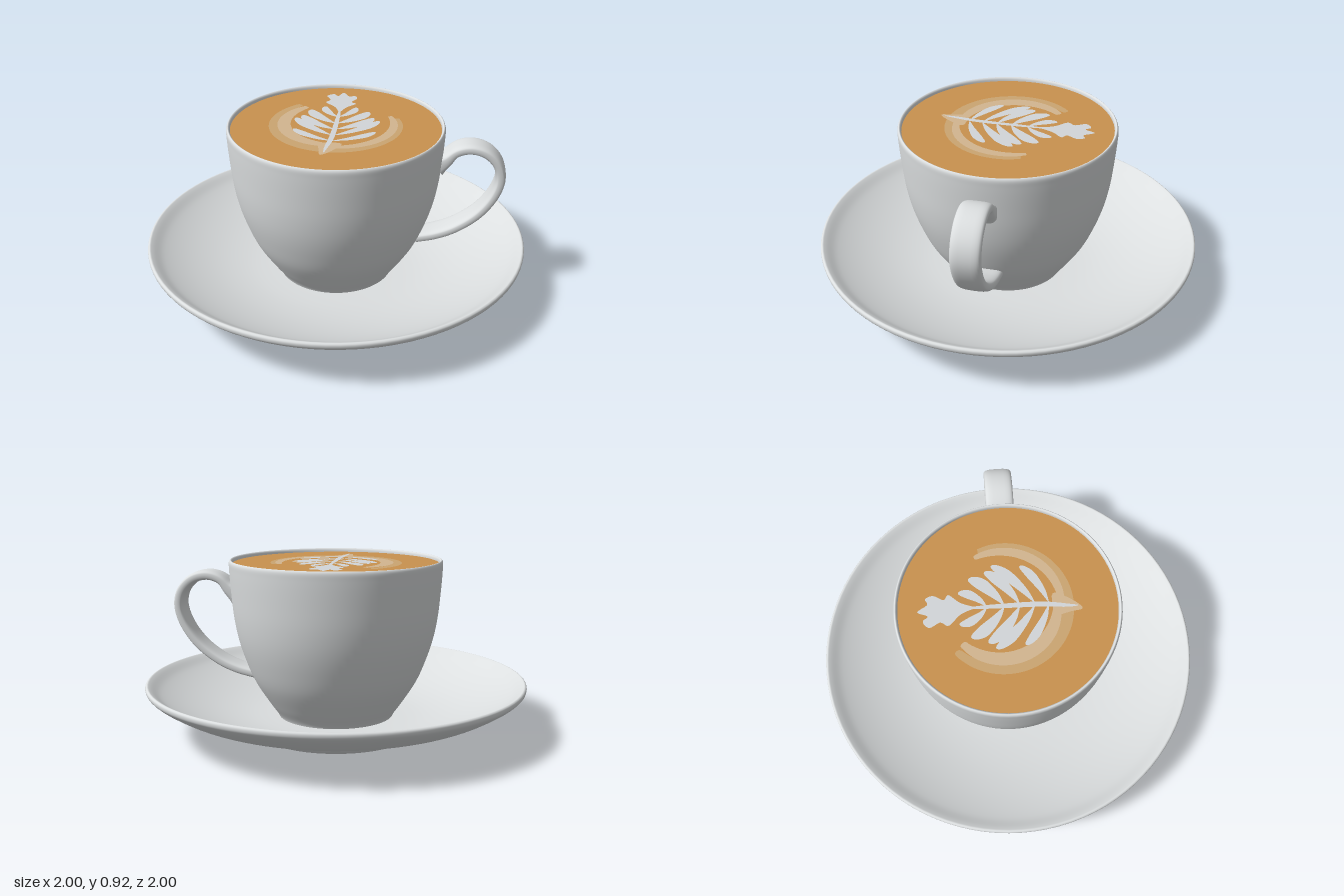
import * as THREE from 'three';

const mat = (name, color, side = THREE.FrontSide) => {
  const m = new THREE.MeshStandardMaterial({ color, side });
  m.name = name;
  return m;
};
const V = (x, y) => new THREE.Vector3(x, y, 0);

// Smooth curve through a few [x, y] points
const smooth = (pts, n) =>
  new THREE.CatmullRomCurve3(pts.map(([x, y]) => V(x, y)), false, 'centripetal').getPoints(n);

// Turned part from profile sections; each section keeps a crisp edge to the next
function turned(name, sections, material) {
  const group = new THREE.Group();
  group.name = name;
  sections.forEach((pts, i) => {
    const profile = smooth(pts, pts.length > 2 ? pts.length * 5 : 1).map((p) => new THREE.Vector2(Math.max(p.x, 0), p.y));
    const mesh = new THREE.Mesh(new THREE.LatheGeometry(profile, 96), material);
    mesh.name = `${name}Section${i + 1}`;
    group.add(mesh);
  });
  return group;
}

// Strap handle: rounded cross-section swept along a planar curve
function strapGeometry(path, halfWidth, halfThick) {
  const rows = 72, sides = 28, pos = [], idx = [];
  const curve = new THREE.CatmullRomCurve3(path.map(([x, y]) => V(x, y)), false, 'centripetal');
  const round = (c) => Math.sign(c) * Math.pow(Math.abs(c), 0.6);
  for (let i = 0; i <= rows; i++) {
    const t = i / rows, p = curve.getPointAt(t), d = curve.getTangentAt(t);
    const thick = halfThick + 0.035 * Math.pow(Math.max(0, 1 - t / 0.12), 2);
    for (let j = 0; j < sides; j++) {
      const a = (j / sides) * Math.PI * 2;
      const u = round(Math.cos(a)) * thick, w = round(Math.sin(a)) * halfWidth;
      pos.push(p.x - d.y * u, p.y + d.x * u, w);
      if (i < rows) {
        const k = i * sides + j, l = i * sides + ((j + 1) % sides);
        idx.push(k, l, k + sides, l, l + sides, k + sides);
      }
    }
  }
  const g = new THREE.BufferGeometry();
  g.setAttribute('position', new THREE.Float32BufferAttribute(pos, 3));
  g.setIndex(idx);
  g.computeVertexNormals();
  return g;
}

export function createModel() {
  const model = new THREE.Group();
  model.name = 'coffeeCupOnSaucer';
  const china = mat('whiteChina', 0xdcdfe0);
  const strap = mat('whiteChinaHandle', 0xdcdfe0, THREE.DoubleSide);
  const coffee = mat('coffee', 0xc9924f);
  const foam = mat('milkFoam', 0xd2d6d9, THREE.DoubleSide);
  const pale = mat('paleFoam', 0xd2b590, THREE.DoubleSide);
  const faint = mat('faintFoam', 0xcba571, THREE.DoubleSide);

  // Saucer: foot disc, underside and rim, dished top
  model.add(turned('saucer', [
    [[0, 0], [0.43, 0]],
    [[0.43, 0], [0.455, 0.018], [0.49, 0.052], [0.55, 0.073], [0.65, 0.095], [0.75, 0.123], [0.85, 0.162],
      [0.93, 0.207], [0.98, 0.242], [0.998, 0.262], [0.999, 0.28], [0.99, 0.287], [0.975, 0.28], [0.92, 0.24],
      [0.8, 0.182], [0.65, 0.132], [0.5, 0.102], [0.35, 0.09], [0, 0.088]],
  ], china));

  // Cup: bowl wall with rolled lip
  model.add(turned('cup', [
    [[0.3, 0.075], [0.31, 0.1], [0.355, 0.165], [0.43, 0.285], [0.478, 0.4], [0.512, 0.51], [0.533, 0.62],
      [0.546, 0.75], [0.554, 0.87], [0.554, 0.91], [0.547, 0.92], [0.539, 0.914], [0.535, 0.89], [0.53, 0.84]],
  ], china));

  const handle = new THREE.Mesh(strapGeometry([
    [0.52, 0.725], [0.565, 0.755], [0.615, 0.805], [0.685, 0.825], [0.765, 0.805], [0.825, 0.745], [0.845, 0.665],
    [0.82, 0.57], [0.745, 0.46], [0.63, 0.37], [0.53, 0.325], [0.43, 0.3],
  ], 0.072, 0.026), strap);
  handle.name = 'handle';
  model.add(handle);

  const surface = new THREE.Mesh(new THREE.CircleGeometry(0.538, 96).rotateX(-Math.PI / 2), coffee);
  surface.name = 'coffeeSurface';
  surface.position.y = 0.9;
  model.add(surface);

  // Foam art: flat faces just above the coffee, drawn as [x, z]
  const art = new THREE.Group();
  art.name = 'foamArt';
  model.add(art);
  function patch(name, pts, layer, material) {
    const curve = new THREE.SplineCurve(pts.map(([x, z]) => new THREE.Vector2(x, -z)));
    const shape = new THREE.Shape(curve.getPoints(pts.length * 4));
    const mesh = new THREE.Mesh(new THREE.ShapeGeometry(shape).rotateX(-Math.PI / 2), material);
    mesh.name = name;
    mesh.position.y = 0.9 + layer * 0.002;
    art.add(mesh);
  }

  // Crescent between two radii, angles in degrees from +x towards +z, tapering at its ends
  function crescent(name, a0, a1, rMid, half, layer, material) {
    const outer = [], inner = [];
    for (let i = 0; i <= 24; i++) {
      const t = i / 24, a = THREE.MathUtils.degToRad(a0 + (a1 - a0) * t);
      const w = half * Math.pow(Math.sin(Math.PI * (0.03 + 0.94 * t)), 0.35);
      outer.push([Math.cos(a) * (rMid + w), -0.03 + Math.sin(a) * (rMid + w)]);
      inner.unshift([Math.cos(a) * (rMid - w), -0.03 + Math.sin(a) * (rMid - w)]);
    }
    patch(name, [...outer, ...inner, outer[0]], layer, material);
  }
  crescent('faintSwirl', -18, 226, 0.315, 0.035, 1, faint);
  crescent('paleSwirlLeft', 92, 228, 0.268, 0.034, 2, pale);
  crescent('paleSwirlRight', -24, 92, 0.292, 0.024, 2, pale);
  patch('paleTail', [[-0.07, 0.22], [0.05, 0.22], [0.02, 0.3], [-0.035, 0.36], [-0.05, 0.3], [-0.07, 0.22]], 3, pale);

  // Paired leaves: root z, tip x, tip z, half width
  const leaves = [
    [-0.1, 0.085, -0.235, 0.025], [-0.015, 0.155, -0.18, 0.034], [0.06, 0.185, -0.1, 0.032],
    [0.135, 0.215, -0.065, 0.03], [0.2, 0.205, 0.075, 0.025],
  ];
  leaves.forEach(([rz, tx, tz, w], i) => {
    for (const s of [-1, 1]) {
      const len = Math.hypot(tx, tz - rz), nx = -(tz - rz) / len, nz = tx / len;
      const at = (t, o) => [s * (tx * t + nx * (o + 0.015 * Math.sin(Math.PI * t))),
        rz + (tz - rz) * t + nz * (o + 0.015 * Math.sin(Math.PI * t))];
      patch(`foamLeaf${i + 1}${s > 0 ? 'Left' : 'Right'}`, [at(0, 0), at(0.3, w * 0.6), at(0.7, w), at(0.95, w * 0.6),
        at(1, -w * 0.3), at(0.75, -w * 0.8), at(0.35, -w * 0.6), at(0, 0)], 4, foam);
    }
  });
  patch('foamCrown', [[0, -0.15], [-0.03, -0.23], [-0.085, -0.29], [-0.065, -0.33], [-0.09, -0.385], [-0.055, -0.415],
    [-0.03, -0.39], [-0.005, -0.44], [0.03, -0.39], [0.06, -0.4], [0.075, -0.36], [0.05, -0.31], [0.075, -0.285],
    [0.03, -0.23], [0, -0.15]], 5, foam);
  patch('foamStem', [[0, -0.24], [0.01, -0.1], [0.011, 0.15], [-0.01, 0.29], [-0.022, 0.34], [-0.026, 0.28],
    [-0.016, 0.15], [-0.01, -0.1], [0, -0.24]], 5, foam);

  return model;
}
